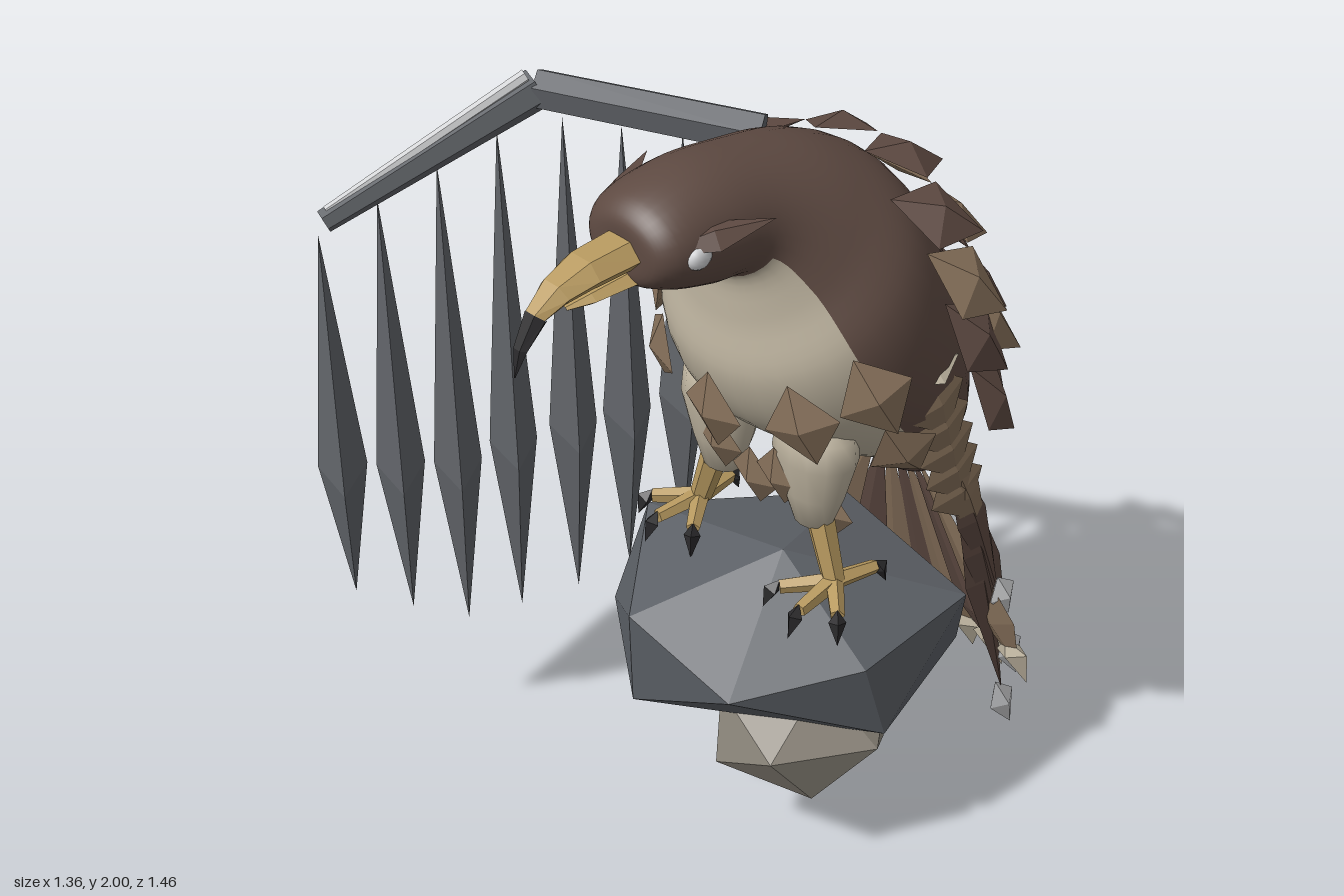
import * as THREE from 'three';
import { ConvexGeometry } from 'three/addons/geometries/ConvexGeometry.js';

const V = (x, y, z) => new THREE.Vector3(x, y, z);
const CX = 0.27; // middle of the bird
const paint = (name, color) => {
  const m = new THREE.MeshStandardMaterial({ color });
  m.name = name;
  return m;
};

// Rings as [top z, top y, bottom z, bottom y, half width], from front to back
function ringSampler(rings) {
  const top = new THREE.CatmullRomCurve3(rings.map(r => V(r[4], r[1], r[0])));
  const low = new THREE.CatmullRomCurve3(rings.map(r => V(0, r[3], r[2])));
  return (k, a) => {
    const u = Math.min(Math.max(k / (rings.length - 1), 0), 1);
    const t = top.getPoint(u), b = low.getPoint(u), s = (Math.sin(a) + 1) / 2;
    return V(CX + Math.cos(a) * Math.max(t.x, 0), b.y + (t.y - b.y) * s, b.z + (t.z - b.z) * s);
  };
}

// Skin over the rings; pick(k, a) chooses the material slot of a face
function loft(rings, seg, steps, pick = () => 0) {
  const at = ringSampler(rings), pos = [], lists = [[], []];
  const step = Math.PI * 2 / seg, last = rings.length - 1;
  for (let i = 0; i <= steps; i++)
    for (let j = 0; j < seg; j++) pos.push(...at(i / steps * last, j * step).toArray());
  for (let i = 0; i < steps; i++)
    for (let j = 0; j < seg; j++) {
      const a = i * seg + j, b = i * seg + (j + 1) % seg;
      lists[pick((i + 0.5) / steps * last, (j + 0.5) * step)].push(a, a + seg, b, b, a + seg, b + seg);
    }
  const g = new THREE.BufferGeometry();
  g.setAttribute('position', new THREE.Float32BufferAttribute(pos, 3));
  g.setIndex([...lists[0], ...lists[1]]);
  g.addGroup(0, lists[0].length, 0);
  g.addGroup(lists[0].length, lists[1].length, 1);
  g.computeVertexNormals();
  return g;
}

// Pointed blade with a ridge: root to tip, widest at t
function blade(root, tip, normal, width, t, front, back) {
  const d = tip.clone().sub(root).normalize();
  const n = normal.clone().addScaledVector(d, -normal.dot(d)).normalize();
  const s = d.clone().cross(n), mid = root.clone().lerp(tip, t);
  const w = [[s, width / 2], [n, front], [s, -width / 2], [n, -back]]
    .map(([v, k]) => mid.clone().addScaledVector(v, k));
  const pts = [];
  for (let i = 0; i < 4; i++) {
    const a = w[i], b = w[(i + 1) % 4];
    pts.push(root, a, b, tip, b, a);
  }
  const g = new THREE.BufferGeometry().setFromPoints(pts);
  g.computeVertexNormals();
  return g;
}

// Tapered bar between two points
function bar(a, b, r1, r2, sides) {
  const g = new THREE.CylinderGeometry(r2, r1, a.distanceTo(b), sides).toNonIndexed();
  g.computeVertexNormals();
  const q = new THREE.Quaternion().setFromUnitVectors(V(0, 1, 0), b.clone().sub(a).normalize());
  const c = a.clone().lerp(b, 0.5);
  return g.applyQuaternion(q).translate(c.x, c.y, c.z);
}

export function createModel() {
  const model = new THREE.Group();
  const dark = paint('dark brown plumage', 0x5e4a42), light = paint('light brown plumage', 0x86705a);
  const cream = paint('cream plumage', 0xbcb29e), yellow = paint('horn yellow', 0xb89a60);
  const black = paint('claw black', 0x2b2a2c), steel = paint('dark steel', 0x606368);
  const silver = paint('silver', 0xd2d3d5), slate = paint('slate rock', 0x5c6066);
  const stone = paint('pale stone', 0x8b857a);
  const add = (name, geo, mat, parent = model) => {
    const m = new THREE.Mesh(geo, mat);
    m.name = name;
    parent.add(m);
    return m;
  };
  const group = name => {
    const g = new THREE.Group();
    g.name = name;
    model.add(g);
    return g;
  };

  // Head, neck and body in one skin, with a cream chest
  const rings = [
    [0.445, 1.88, 0.445, 1.86, 0], [0.44, 1.935, 0.44, 1.79, 0.1], [0.4, 1.97, 0.39, 1.76, 0.14],
    [0.27, 2.0, 0.26, 1.72, 0.155], [0.08, 1.98, 0.19, 1.71, 0.17], [-0.12, 1.93, 0.18, 1.6, 0.24],
    [-0.28, 1.83, 0.19, 1.45, 0.33], [-0.42, 1.6, 0.12, 1.3, 0.35], [-0.5, 1.3, -0.08, 1.15, 0.31],
    [-0.53, 1.08, -0.27, 1.03, 0.2], [-0.53, 0.9, -0.42, 0.9, 0.09], [-0.5, 0.87, -0.47, 0.87, 0]];
  add('body', loft(rings, 32, 66, (k, a) => (k > 4 && k < 8.4 && Math.sin(a) < -0.38 ? 1 : 0)), [dark, cream]);

  // Beak
  const flat = g => { const f = g.toNonIndexed(); f.computeVertexNormals(); return f; };
  add('upperBeak', flat(loft([[0.69, 1.81, 0.655, 1.785, 0.028], [0.63, 1.86, 0.61, 1.805, 0.045],
    [0.55, 1.89, 0.55, 1.815, 0.06], [0.43, 1.9, 0.43, 1.82, 0.066]], 6, 3)), yellow);
  add('beakHook', flat(loft([[0.735, 1.675, 0.733, 1.675, 0.002], [0.728, 1.74, 0.7, 1.735, 0.02],
    [0.69, 1.812, 0.653, 1.783, 0.03]], 6, 2)), black);
  add('lowerBeak', flat(loft([[0.6, 1.79, 0.6, 1.78, 0.012], [0.54, 1.805, 0.54, 1.775, 0.035],
    [0.42, 1.82, 0.42, 1.775, 0.05]], 6, 2)), yellow);

  // Eyes and brows
  for (const s of [-1, 1]) {
    const eye = add('eye', new THREE.SphereGeometry(0.029, 12, 8), silver);
    eye.position.set(CX + s * 0.144, 1.868, 0.355);
    eye.scale.set(0.6, 0.9, 1.1);
    add('brow', blade(V(CX + s * 0.09, 1.885, 0.44), V(CX + s * 0.2, 1.922, 0.19), V(s * 0.5, 1, 0), 0.08, 0.5, 0.02, 0.02), dark);
  }

  // Feather rows laid on the body: [ring, angles from the row's middle, length, width, material, lift]
  const at = ringSampler(rings);
  const plumage = (name, mid, rows) => {
    const g = group(name);
    for (const [k, angles, len, width, mat, lift] of rows)
      for (const deg of angles) {
        const a = (mid + deg) * Math.PI / 180, p = at(k, a);
        const d = at(k + 0.05, a).sub(at(k - 0.05, a)).normalize();
        const n = d.clone().cross(at(k, a + 0.03).sub(at(k, a - 0.03))).normalize();
        const root = p.clone().addScaledVector(n, 0.005);
        const tip = p.clone().addScaledVector(d, len).addScaledVector(n, lift);
        add('feather', blade(root, tip, n, width, 0.5, 0.035, 0.008), mat, g);
      }
  };
  plumage('backFeathers', 90, [
    [5.5, [-45, -15, 15, 45], 0.23, 0.19, dark, 0.05],
    [6.1, [-58, -29, 0, 29, 58], 0.25, 0.2, light, 0.07],
    [6.6, [-66, -42, -14, 14, 42, 66], 0.25, 0.19, dark, 0.08],
    [6.75, [-54, 54], 0.25, 0.18, light, 0.1],
    [7.05, [-29, 0, 29], 0.26, 0.19, dark, 0.09],
    [7.6, [-62, -38, -13, 13, 38, 62], 0.25, 0.18, dark, 0.09]]);
  plumage('chestFeathers', -90, [
    [6.0, [-66, -37, 0, 37, 66], 0.22, 0.18, light, 0.01],
    [7.25, [-62, 62], 0.22, 0.17, light, 0.02]]);

  // Short feathers hanging between the legs
  const under = group('underFeathers');
  for (const [x, y, z] of [[0.17, 1.24, 0.08], [0.37, 1.24, 0.08], [0.27, 1.18, 0.06], [0.2, 1.02, -0.13], [0.34, 1.02, -0.13]])
    add('feather', blade(V(x, y, z), V(x, y - 0.18, z - 0.04), V(0, 0, 1), 0.15, 0.5, 0.03, 0.01), light, under);

  // Legs, toes and claws
  for (const s of [-1, 1]) {
    const leg = group(s < 0 ? 'rightLeg' : 'leftLeg');
    const thigh = add('thigh', new THREE.LatheGeometry([[0, 0], [0.052, 0.008], [0.085, 0.1], [0.112, 0.2],
      [0.105, 0.27], [0.05, 0.31], [0, 0.32]].map(p => new THREE.Vector2(...p)), 14), cream, leg);
    thigh.position.set(CX + s * 0.155, 1.02, 0);
    thigh.scale.z = 0.78;
    const ankle = V(CX + s * 0.23, 0.885, 0);
    add('shank', bar(V(CX + s * 0.175, 1.05, 0), ankle, 0.036, 0.028, 6), yellow, leg);
    for (const [dx, dz] of [[-0.08, 0.1], [0.015, 0.13], [0.09, 0.08], [0.02, -0.12]]) {
      const end = ankle.clone().add(V(s * dx, -0.01, dz));
      add('toe', bar(ankle, end, 0.024, 0.018, 5), yellow, leg);
      const claw = end.clone().add(V(s * dx * 0.3, -0.06, dz * 0.3));
      add('claw', blade(end.clone().add(V(0, 0.018, 0)), claw, V(dx * s, 0.5, dz), 0.042, 0.35, 0.026, 0.014), black, leg);
    }
  }

  // Steel right wing: two-part arm, silver rod and hanging blades
  const wing = group('steelWing');
  const shoulder = V(0.06, 1.83, -0.17), elbow = V(-0.38, 1.885, 0.13), hand = V(-0.55, 1.655, 0.63);
  add('upperArm', bar(shoulder, elbow, 0.052, 0.05, 6), steel, wing);
  add('forearm', bar(elbow, hand, 0.05, 0.028, 6), steel, wing);
  add('rod', bar(elbow.clone().add(V(0, 0.042, 0.03)), hand.clone().add(V(0, 0.024, -0.01)), 0.016, 0.012, 6), silver, wing);
  const hang = [[-0.565, 0.64, 1.62, 0.57], [-0.52, 0.5, 1.68, 0.47], [-0.465, 0.365, 1.74, 0.39], [-0.415, 0.225, 1.8, 0.39],
    [-0.315, 0.11, 1.83, 0.45], [-0.205, 0.025, 1.82, 0.55], [-0.095, -0.065, 1.81, 0.66]];
  for (const [x, z, y1, y2] of hang)
    add('steelFeather', blade(V(x, y1, z), V(x, y2, z), V(-0.55, 0, 0.83), 0.28, 0.62, 0.06, 0.06), steel, wing);

  // Folded left wing: covert feathers, long flight feathers, silver tips
  const fold = group('foldedWing'), out = V(1, 0, 0.1);
  add('shoulderPlume', blade(V(0.58, 1.42, -0.12), V(0.6, 1.45, -0.27), V(0.4, 1, 0), 0.09, 0.5, 0.02, 0.02), cream, fold);
  for (let i = 0; i < 5; i++) {
    const r = V(0.595 - 0.006 * i, 1.46 - i * 0.08, -0.16 - i * 0.032);
    add('covert', blade(r, r.clone().add(V(0.01, -0.22, -0.09)), out, 0.17, 0.5, 0.022, 0.01), light, fold);
  }
  const flights = [[0.57, 0.72, -0.5], [0.565, 0.58, -0.55], [0.55, 0.38, -0.61], [0.53, 0.18, -0.65], [0.515, 0.26, -0.69]];
  flights.forEach(([x, y, z], i) => add('flightFeather',
    blade(V(0.59 - i * 0.008, 1.28 - i * 0.05, -0.22 - i * 0.035), V(x, y, z), out, 0.095, 0.5, 0.018, 0.012), i === 0 ? light : dark, fold));
  for (const [a, b] of [[V(0.58, 0.66, -0.52), V(0.565, 0.49, -0.6)], [V(0.565, 0.44, -0.59), V(0.55, 0.23, -0.68)],
    [V(0.53, 0.22, -0.62), V(0.51, 0, -0.73)]])
    add('silverTip', blade(a, b, out, 0.085, 0.4, 0.03, 0.03), silver, fold);

  // Tail fan with pale tips
  const tail = group('tail'), rear = V(0, 0.35, -1);
  for (let i = -3; i <= 3; i++) {
    const root = V(CX + 0.02 * i, 0.96, -0.45), tip = V(CX + 0.12 * i, 0.28 + 0.009 * i * i, -0.67 + 0.01 * i * i);
    const along = t => root.clone().lerp(tip, t);
    add('tailFeather', blade(root, along(1), rear, 0.15, 0.78, 0.03, 0.02), i % 2 ? light : dark, tail);
    add('tailTip', blade(along(0.87), along(1.08), rear, 0.125, 0.3, 0.03, 0.025), cream, tail);
  }

  // Perch: faceted boulder with a smaller stone below
  const corners = [[-0.1, 0.81, 0.05], [-0.085, 0.585, 0.18], [0.16, 0.76, 0.345], [0.46, 0.65, 0.3], [0.14, 0.47, 0.32],
    [0.635, 0.7, 0.02], [0.645, 0.465, -0.05], [0.33, 0.88, 0], [0.2, 0.8, -0.36], [0.62, 0.72, -0.35],
    [0.2, 0.53, -0.38], [0.56, 0.52, -0.4], [0.25, 0.41, 0], [-0.06, 0.62, -0.2]];
  add('boulder', new ConvexGeometry(corners.map(c => V(...c))), slate);
  const small = add('smallStone', new THREE.IcosahedronGeometry(1, 0).rotateX(0.3).rotateZ(0.35).rotateY(0.6), stone);
  small.scale.set(0.24, 0.18, 0.27);
  small.position.set(0.4, 0.39, -0.02);
  return model;
}
